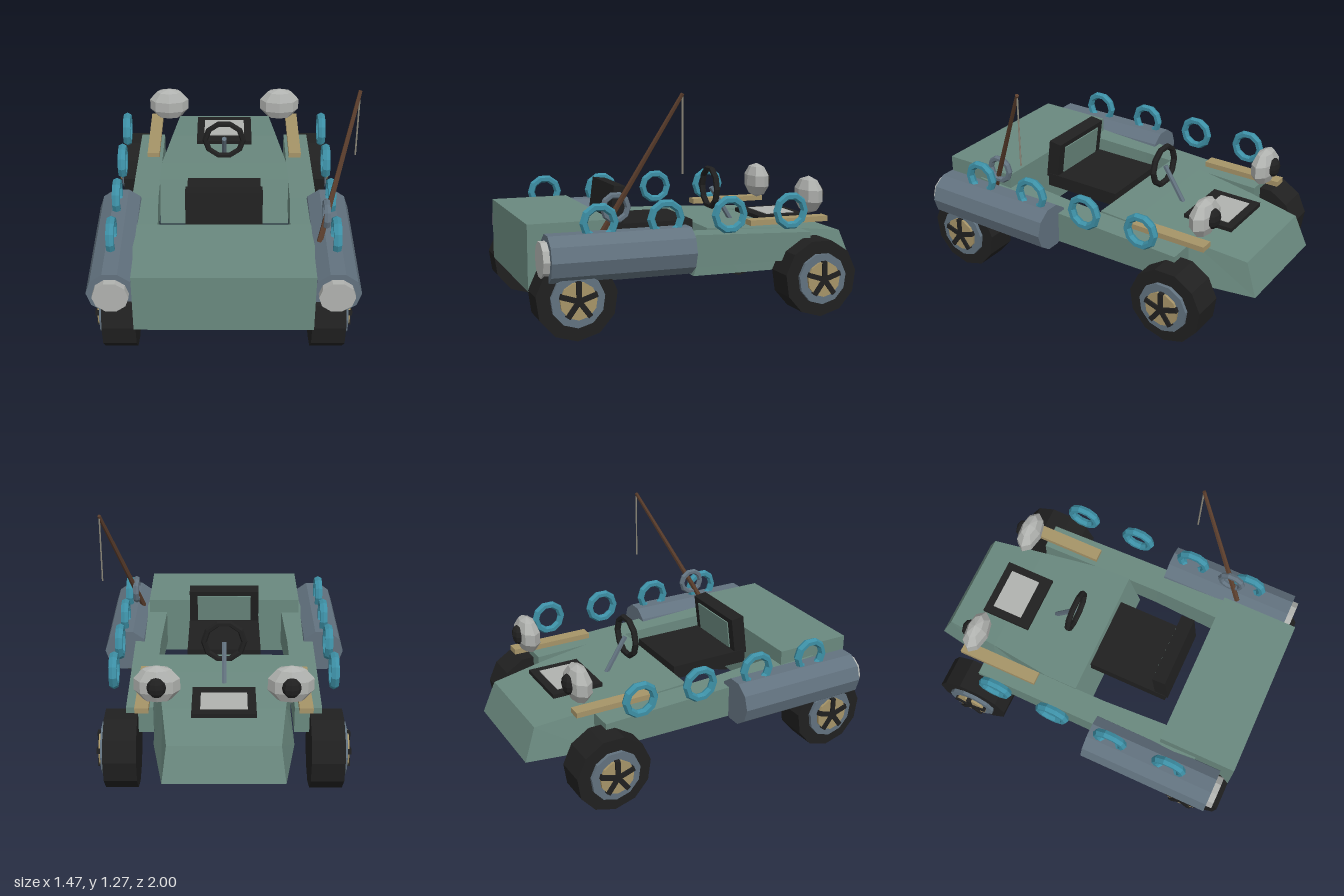
import * as THREE from 'three';

const mat = (name, color) => {
  const m = new THREE.MeshStandardMaterial({ color });
  m.name = name;
  return m;
};

export function createModel() {
  const M = {
    body: mat('sage green', 0x6a897f),
    slate: mat('slate', 0x62727f),
    black: mat('black', 0x202020),
    tan: mat('tan', 0xa69468),
    grey: mat('light grey', 0xb0b2af),
    blue: mat('ring blue', 0x3d90a6),
    brown: mat('brown', 0x5a3d2c),
    line: mat('line grey', 0x8a8678),
  };
  const root = new THREE.Group();
  root.name = 'buggy';
  const car = new THREE.Group();
  car.name = 'car';
  car.position.x = -0.0125;
  root.add(car);

  // Faceted mesh helper
  const add = (parent, name, geo, material, pos = [0, 0, 0]) => {
    const g = geo.index ? geo.toNonIndexed() : geo;
    g.computeVertexNormals();
    const mesh = new THREE.Mesh(g, material);
    mesh.name = name;
    mesh.position.set(...pos);
    parent.add(mesh);
    return mesh;
  };

  // Box from its limits
  const box = (parent, name, material, x0, x1, y0, y1, z0, z1) =>
    add(parent, name, new THREE.BoxGeometry(x1 - x0, y1 - y0, z1 - z0), material,
      [(x0 + x1) / 2, (y0 + y1) / 2, (z0 + z1) / 2]);

  // Solid through four-cornered sections, ordered by rising z
  const loft = (sections) => {
    const pos = [];
    const tri = (...pts) => pts.forEach((p) => pos.push(...p));
    for (let i = 0; i + 1 < sections.length; i++) {
      const a = sections[i], b = sections[i + 1];
      for (let j = 0; j < 4; j++) {
        const k = (j + 1) % 4;
        tri(a[j], a[k], b[k], a[j], b[k], b[j]);
      }
    }
    const s = sections[0], e = sections[sections.length - 1];
    tri(s[0], s[2], s[1], s[0], s[3], s[2]);
    tri(e[0], e[1], e[2], e[0], e[2], e[3]);
    const g = new THREE.BufferGeometry();
    g.setAttribute('position', new THREE.Float32BufferAttribute(pos, 3));
    return g;
  };

  // Tapered rod between two points
  const rod = (parent, name, material, from, to, r0, r1, sides = 6) => {
    const a = new THREE.Vector3(...from), b = new THREE.Vector3(...to);
    const d = b.clone().sub(a);
    const m = add(parent, name, new THREE.CylinderGeometry(r1, r0, d.length(), sides), material,
      a.clone().add(b).multiplyScalar(0.5).toArray());
    m.quaternion.setFromUnitVectors(new THREE.Vector3(0, 1, 0), d.normalize());
    return m;
  };

  // Ring whose axis is x
  const ring = (parent, name, material, R, t, pos) =>
    add(parent, name, new THREE.TorusGeometry(R, t, 6, 10).scale(1, 1, 1.15).rotateY(Math.PI / 2), material, pos);

  // Hood: [bottom half width, y, z, top half width, y, z]
  const hood = [
    [0.325, 0.228, -1, 0.3, 0.415, -0.93],
    [0.39, 0.228, -0.61, 0.337, 0.456, -0.61],
    [0.39, 0.228, -0.24, 0.385, 0.485, -0.24],
    [0.388, 0.228, 0.04, 0.388, 0.497, -0.04],
  ].map(([bw, by, bz, tw, ty, tz]) => [[-bw, by, bz], [bw, by, bz], [tw, ty, tz], [-tw, ty, tz]]);
  add(car, 'hood', loft(hood), M.body);
  box(car, 'rearBody', M.body, -0.478, 0.478, 0.24, 0.595, 0.545, 1);

  // Side sills: [inner x, outer x, bottom y, top y, z]
  const sill = [
    [0.385, 0.533, 0.31, 0.463, -0.615],
    [0.385, 0.54, 0.31, 0.493, 0.15],
    [0.368, 0.505, 0.3, 0.51, 0.545],
    [0.368, 0.487, 0.3, 0.52, 0.77],
  ];

  const wheel = (side, z) => {
    const g = new THREE.Group();
    g.name = 'wheel';
    g.position.set(side * 0.558, 0.219, z);
    const disc = (name, r, x0, x1, m, sides) =>
      add(g, name, new THREE.CylinderGeometry(r, r, x1 - x0, sides).rotateZ(Math.PI / 2).rotateX(Math.PI / 2),
        m, [side * (x0 + x1) / 2, 0, 0]);
    disc('tyre', 0.219, -0.09, 0.09, M.black, 11);
    disc('rim', 0.145, 0.08, 0.11, M.slate, 11);
    disc('hub', 0.1, 0.1, 0.124, M.tan, 11);
    for (let i = 0; i < 5; i++) {
      const a = (i / 5) * Math.PI * 2;
      const spoke = add(g, 'spoke', new THREE.BoxGeometry(0.024, 0.105, 0.028).translate(0, 0.05, 0),
        M.black, [side * 0.122, 0, 0]);
      spoke.rotation.x = a;
    }
    car.add(g);
  };

  for (const s of [-1, 1]) {
    add(car, 'sideSill', loft(sill.map(([xi, xo, y0, y1, z]) => {
      const l = Math.min(s * xi, s * xo), r = Math.max(s * xi, s * xo);
      return [[l, y0, z], [r, y0, z], [r, y1, z], [l, y1, z]];
    })), M.body);

    wheel(s, -0.625);
    wheel(s, 0.783);

    // Long side tank with a rear cap
    const tube = (r, len) => new THREE.CylinderGeometry(r, r, len, 10).rotateY(Math.PI / 2).rotateX(Math.PI / 2);
    add(car, 'sideTank', tube(0.132, 0.78), M.slate, [s * 0.595, 0.43, 0.54]);
    add(car, 'tankCap', tube(0.097, 0.04), M.grey, [s * 0.595, 0.43, 0.945]);

    // Row of rings
    for (let i = 0; i < 4; i++) {
      ring(car, 'sideRing', M.blue, 0.084, 0.022, [s * 0.607, 0.605, 0.65 - i * 0.366]);
    }

    // Plank and headlamp
    const p = s * 0.437;
    box(car, 'plank', M.tan, p - 0.037, p + 0.037, 0.508, 0.539, -0.755, -0.27);
    add(car, 'headlamp', new THREE.SphereGeometry(1, 8, 5).scale(0.13, 0.11, 0.068), M.grey, [s * 0.355, 0.65, -0.69]);
    add(car, 'headlampCentre', new THREE.SphereGeometry(1, 8, 6).scale(0.052, 0.058, 0.036), M.black,
      [s * 0.355, 0.655, -0.745]);
  }

  // Hood display
  box(car, 'displayFrame', M.black, -0.174, 0.174, 0.484, 0.508, -0.76, -0.46);
  box(car, 'displayScreen', M.grey, -0.127, 0.127, 0.506, 0.512, -0.715, -0.53);

  // Seat
  box(car, 'seatBase', M.black, -0.217, 0.217, 0.44, 0.52, -0.02, 0.465);
  const back = new THREE.Group();
  back.name = 'seatBack';
  back.position.set(0, 0.613, 0.424);
  back.rotation.x = -0.13;
  car.add(back);
  box(back, 'backrest', M.black, -0.214, 0.214, -0.12, 0.12, -0.04, 0.04);
  box(back, 'backrestPanel', M.body, -0.165, 0.165, -0.08, 0.09, -0.047, -0.039);

  // Steering wheel and column
  add(car, 'steeringWheel', new THREE.TorusGeometry(0.115, 0.018, 6, 10), M.black, [0, 0.67, -0.215]);
  rod(car, 'steeringColumn', M.slate, [0, 0.67, -0.225], [0, 0.47, -0.35], 0.015, 0.015);

  // Fishing rod with its holder ring and line
  rod(root, 'fishingRod', M.brown, [0.51, 0.53, 0.615], [0.722, 1.265, 0.24], 0.017, 0.011);
  ring(root, 'rodReel', M.slate, 0.068, 0.017, [0.545, 0.67, 0.547]);
  rod(root, 'fishingLine', M.line, [0.721, 0.855, 0.24], [0.721, 1.25, 0.24], 0.005, 0.005);

  return root;
}
